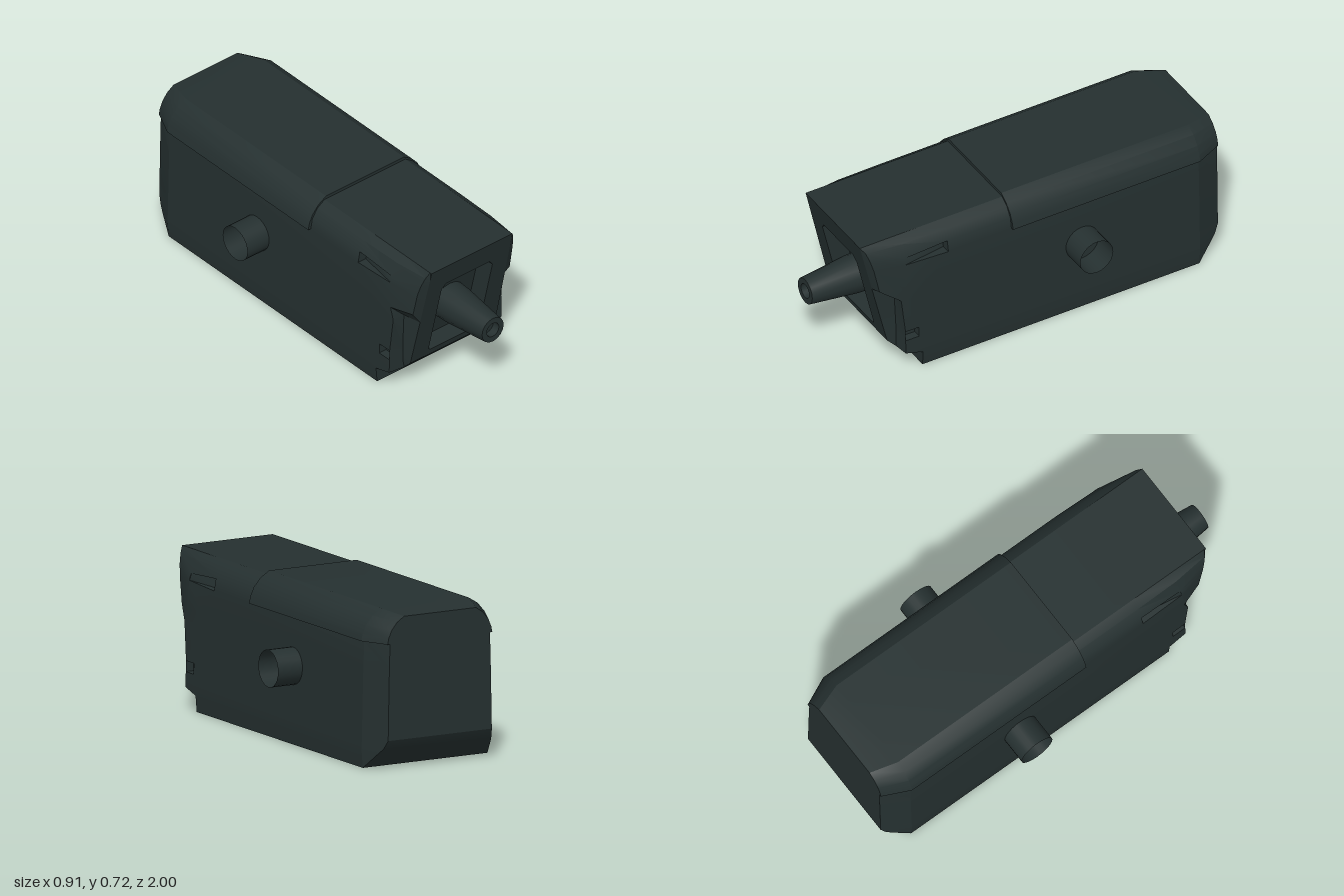
import * as THREE from 'three';
import { toCreasedNormals } from 'three/addons/utils/BufferGeometryUtils.js';

const gunmetal = new THREE.MeshStandardMaterial({ color: 0x253030, side: THREE.DoubleSide });
gunmetal.name = 'dark gunmetal';

// Collects quads and turns them into a creased geometry
function quadBuilder() {
  const pos = [];
  return {
    quad(a, b, c, d) { for (const p of [a, b, c, a, c, d]) pos.push(...p); },
    geometry() {
      const g = new THREE.BufferGeometry();
      g.setAttribute('position', new THREE.Float32BufferAttribute(pos, 3));
      return toCreasedNormals(g, 0.42);
    },
  };
}

// Sloped front plane and the edge of its trapezoid
const faceZ = y => 0.72 + (y - 0.14) * 0.238;
const faceX = y => 0.25 - (y - 0.14) * 0.021;
const mirror = p => [-p[0], p[1], p[2]];

function bodyGeometry() {
  // height, side x, rear-of-notch z, notch-front x and z, cheek x and z
  const rows = [
    [0, 0.327, 0.5, 0.327, 0.58, 0.3, 0.58],
    [0.075, 0.333, 0.5, 0.333, 0.58, 0.3, 0.58],
    [0.1, 0.333, 0.6, 0.332, 0.67, 0.26, 0.68],
    [0.14, 0.332, 0.6, 0.331, 0.67, 0.26, 0.68],
    [0.17, 0.331, 0.6, 0.33, 0.67, 0.26, 0.68],
    [0.22, 0.33, 0.6, 0.329, 0.67, 0.26, 0.68],
    [0.4, 0.326, 0.6, 0.325, 0.69, 0.262, 0.69],
    [0.46, 0.324, 0.55, 0.324, 0.67, 0.285, 0.78],
    [0.58, 0.32, 0.44, 0.318, 0.66, 0.28, 0.805],
    [0.635, 0.31, 0.44, 0.308, 0.66, 0.272, 0.82],
    [0.68, 0.28, 0.44, 0.277, 0.66, 0.258, 0.835],
    [0.708, 0.238, 0.44, 0.238, 0.66, 0.238, 0.845],
  ];
  const rings = rows.map(([y, xw, zc, xs, zs, xm, zm]) => {
    const t = Math.min(1, y / 0.12);
    const slotY = y === 0.58 ? 0.59 : y === 0.635 ? 0.62 : y;
    const half = [
      [xw * (1 - 0.18 * t), y > 0.6 ? y - 0.012 : y, -0.87 - 0.13 * t],
      [xw, y, -0.87], [xw, y, zc], [xs, slotY, zs], [xm, y, zm],
      [faceX(y), y, y < 0.14 ? zm : faceZ(y)],
    ];
    return [...half, ...half.map(mirror).reverse()];
  });
  const { quad, geometry } = quadBuilder();
  // pockets sunk into the side: row -> [rear depth, front depth]
  const pockets = { 4: [0.04, 0.04], 8: [0.045, 0.002] };
  const sink = (p, d) => [p[0] - Math.sign(p[0]) * d, p[1], p[2]];
  for (let j = 0; j < rings.length - 1; j++) {
    const lo = rings[j], hi = rings[j + 1];
    for (let i = 0; i < 12; i++) {
      if (i === 5 && j >= 3) continue; // filled by the front plate
      const k = (i + 1) % 12;
      const c = [lo[i], hi[i], hi[k], lo[k]];
      if (pockets[j] && (i === 2 || i === 8)) {
        const [r, f] = i === 2 ? pockets[j] : [...pockets[j]].reverse();
        const n = [sink(c[0], r), sink(c[1], r), sink(c[2], f), sink(c[3], f)];
        quad(...n);
        for (let e = 0; e < 4; e++) quad(c[e], c[(e + 1) % 4], n[(e + 1) % 4], n[e]);
      } else quad(...c);
    }
  }
  // deck and underside
  const top = rings[rings.length - 1], bottom = rings[0];
  for (let i = 0; i < 5; i++) {
    quad(top[i], top[11 - i], top[10 - i], top[i + 1]);
    quad(bottom[i + 1], bottom[10 - i], bottom[11 - i], bottom[i]);
  }
  return geometry();
}

function coverGeometry() {
  const arch = [[0.3, 0.583], [0.335, 0.583], [0.328, 0.615], [0.31, 0.655], [0.275, 0.695], [0.23, 0.723]];
  const section = (z, sx, drop) => {
    const half = arch.map(([x, y]) => [x * sx, y - drop * (y - 0.583) / 0.14, z]);
    return [...half, ...half.map(mirror).reverse()];
  };
  const s = [section(-1, 0.82, 0.018), section(-0.87, 1, 0), section(0.11, 1, 0)];
  const { quad, geometry } = quadBuilder();
  for (let j = 0; j < 2; j++) {
    for (let i = 0; i < 11; i++) quad(s[j][i], s[j][i + 1], s[j + 1][i + 1], s[j + 1][i]);
  }
  for (let i = 0; i < 5; i++) {
    quad(s[2][i], s[2][i + 1], s[2][10 - i], s[2][11 - i]);
    quad(s[0][11 - i], s[0][10 - i], s[0][i + 1], s[0][i]);
  }
  return geometry();
}

// Flat outline leaned back onto the front plane
function leanedPlate(shape, depth, back) {
  const g = new THREE.ExtrudeGeometry(shape, { depth, bevelEnabled: false });
  const p = g.attributes.position;
  for (let i = 0; i < p.count; i++) p.setZ(i, p.getZ(i) - depth - back + faceZ(p.getY(i)));
  g.computeVertexNormals();
  return g;
}

function outline(points) {
  return points.map(([x, y]) => new THREE.Vector2(x, y));
}

export function createModel() {
  const model = new THREE.Group();
  model.name = 'mountedGunHousing';
  const add = (geometry, name) => {
    const mesh = new THREE.Mesh(geometry, gunmetal);
    mesh.name = name;
    model.add(mesh);
    return mesh;
  };

  add(bodyGeometry(), 'housing');
  add(coverGeometry(), 'topCover');

  // Front plate with a chamfered opening, and the panel at its bottom
  const opening = outline([[-0.14, 0.172], [0.14, 0.172], [0.15, 0.182], [0.15, 0.56],
    [0.128, 0.588], [-0.128, 0.588], [-0.15, 0.56], [-0.15, 0.182]]);
  const face = new THREE.Shape(outline([[-faceX(0.14), 0.14], [faceX(0.14), 0.14],
    [faceX(0.708), 0.708], [-faceX(0.708), 0.708]]));
  face.holes.push(new THREE.Path(opening));
  add(leanedPlate(face, 0.1, 0), 'frontPlate');
  add(leanedPlate(new THREE.Shape(opening), 0.008, 0.095), 'recessPanel');

  // Tapered barrel with a shallow bore
  const profile = outline([[0.096, 0.62], [0.09, 0.76], [0.064, 1], [0.036, 1], [0.036, 0.96], [0, 0.96]]);
  const barrel = new THREE.LatheGeometry(profile, 16).rotateX(Math.PI / 2);
  const muzzle = add(toCreasedNormals(barrel, 0.45), 'barrel');
  muzzle.position.y = 0.365;

  // Open tubular trunnions on both sides
  for (const side of [1, -1]) {
    const tube = new THREE.CylinderGeometry(0.086, 0.086, 0.145, 24, 1, true).rotateZ(Math.PI / 2);
    const pin = add(tube, side > 0 ? 'leftTrunnion' : 'rightTrunnion');
    pin.position.set(side * 0.3825, 0.361, -0.257);
  }
  return model;
}
